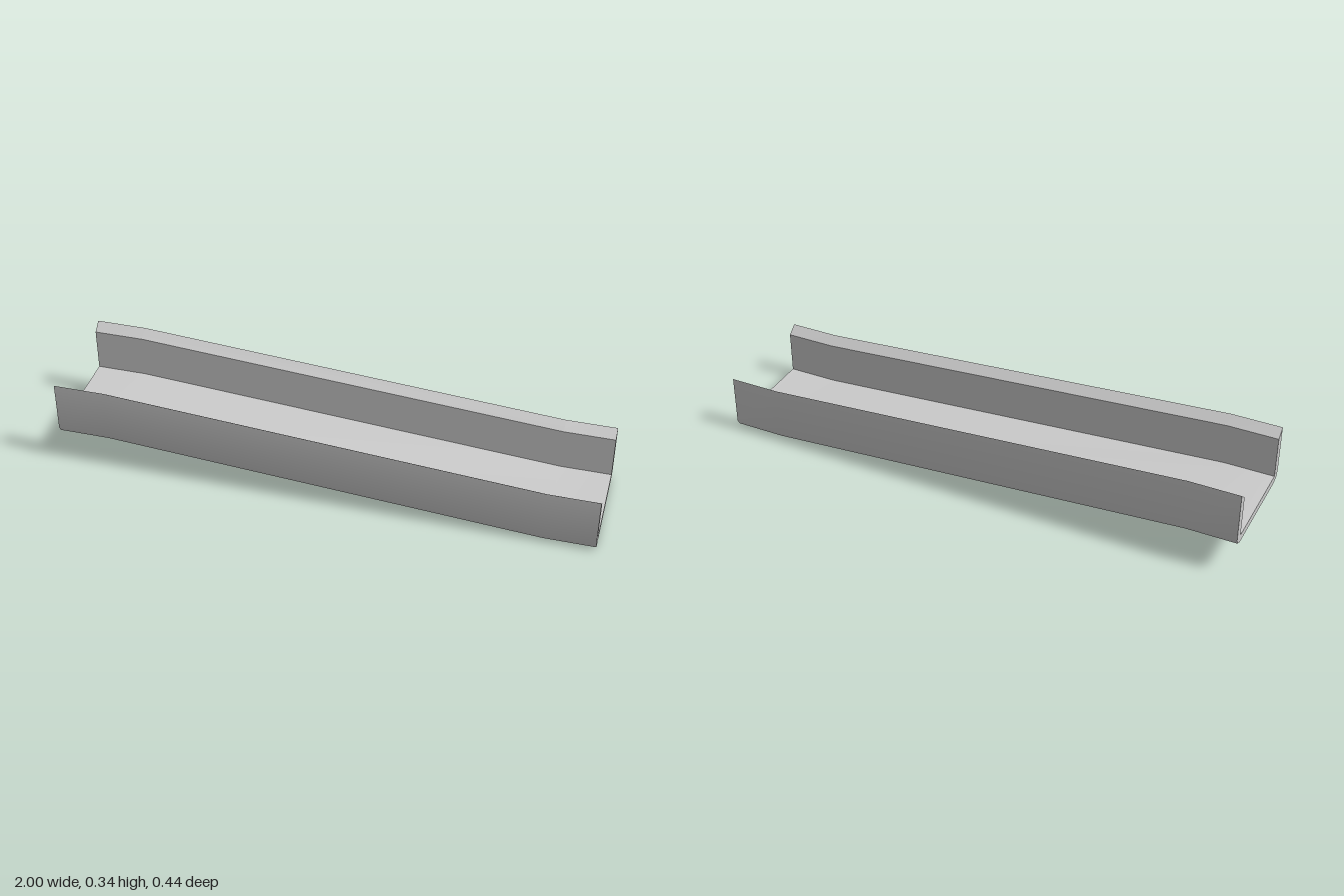
import * as THREE from 'three';
import { toCreasedNormals } from 'three/addons/utils/BufferGeometryUtils.js';

export function createModel() {
  const group = new THREE.Group();
  group.name = 'slopedChannel';

  // Half of the U cross-section, from the middle of the underside round to the inner floor
  const half = [
    [0.183, 0.002], [0.208, 0.012], [0.218, 0.031],
    [0.218, 0.221], [0.183, 0.192], [0.183, 0.031],
  ];
  const mirrored = half.map(([z, y]) => [-z, y]).reverse();
  const outline = [...half, ...mirrored].map(([z, y]) => new THREE.Vector2(z, y));

  // Stations along the length: level end, sloping run, level end
  const stations = [[-1, 0.117], [-0.81, 0.117], [0.81, 0], [1, 0]];
  const spans = stations.length - 1;

  const geometry = new THREE.ExtrudeGeometry(new THREE.Shape(outline), {
    depth: spans, steps: spans, bevelEnabled: false,
  });
  geometry.rotateY(Math.PI / 2);

  // Move each section to its station and height
  const pos = geometry.attributes.position;
  for (let i = 0; i < pos.count; i++) {
    const [x, lift] = stations[Math.round(pos.getX(i))];
    pos.setX(i, x);
    pos.setY(i, pos.getY(i) + lift);
  }

  const channel = new THREE.Mesh(
    toCreasedNormals(geometry, THREE.MathUtils.degToRad(40)),
    new THREE.MeshStandardMaterial({ color: 0xcccccc }),
  );
  channel.name = 'channel';
  group.add(channel);
  return group;
}
